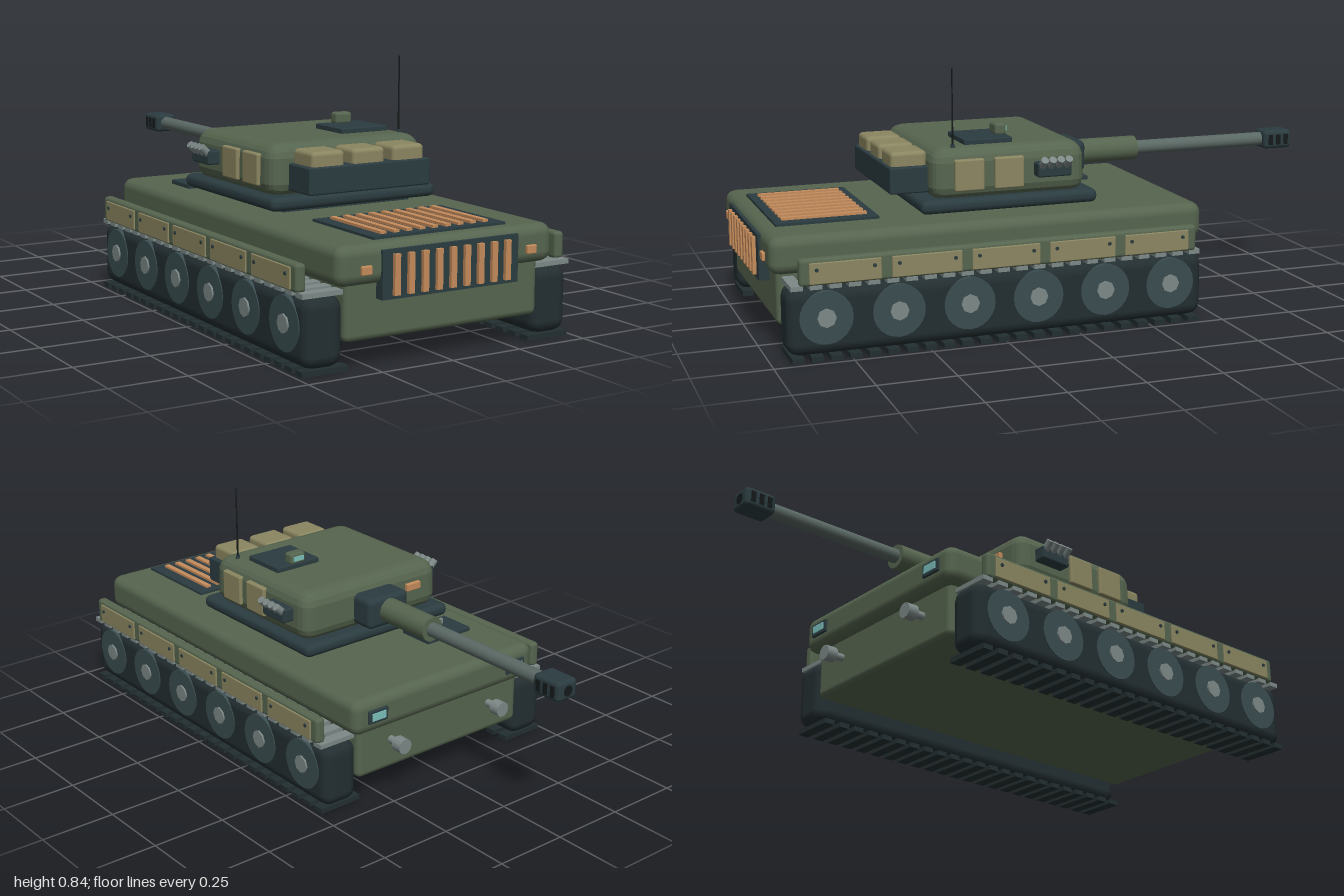
import * as THREE from 'three';
import { RoundedBoxGeometry } from 'three/addons/geometries/RoundedBoxGeometry.js';

const mat = (color) => new THREE.MeshStandardMaterial({ color });
const green = mat(0x56654f), dark = mat(0x2b3c40), rubber = mat(0x232e31), wheelGrey = mat(0x3a4d50);
const steel = mat(0x7d8987), gunGrey = mat(0x5a6864), tan = mat(0x8b8661), copper = mat(0xc58c5c);
const glass = mat(0x7cc2bd), black = mat(0x15191a);

export function createModel() {
  const root = new THREE.Group();
  root.name = 'tank';

  const add = (name, geo, material, x = 0, y = 0, z = 0, parent = root) => {
    const m = new THREE.Mesh(geo, material);
    m.name = name;
    m.position.set(x, y, z);
    parent.add(m);
    return m;
  };
  // Box given by its limits; r > 0 rounds the edges
  const box = (name, material, [x0, x1], [y0, y1], [z0, z1], r = 0, parent = root) => {
    const w = x1 - x0, h = y1 - y0, d = z1 - z0;
    const geo = r ? new RoundedBoxGeometry(w, h, d, 2, r) : new THREE.BoxGeometry(w, h, d);
    return add(name, geo, material, (x0 + x1) / 2, (y0 + y1) / 2, (z0 + z1) / 2, parent);
  };
  const span = (c, size) => [c - size / 2, c + size / 2];
  // Mirrored pair of x limits
  const side = (s, a, b) => (s > 0 ? [a, b] : [-b, -a]);
  const cylZ = (r, len, n = 20) => new THREE.CylinderGeometry(r, r, len, n).rotateX(Math.PI / 2);
  const cylX = (r, len, n = 20) => new THREE.CylinderGeometry(r, r, len, n).rotateZ(Math.PI / 2);

  // Hull
  box('lowerHull', green, [-0.35, 0.35], [0.085, 0.28], [-0.44, 0.955], 0.02);
  box('upperHull', green, [-0.39, 0.39], [0.253, 0.375], [-0.475, 0.98], 0.035);

  // Running gear, one group per side
  for (const s of [1, -1]) {
    const gear = new THREE.Group();
    gear.name = s > 0 ? 'leftRunningGear' : 'rightRunningGear';
    root.add(gear);
    box('track', rubber, side(s, 0.345, 0.478), [0.016, 0.23], [-0.437, 0.95], 0.04, gear);
    for (let i = 0; i < 23; i++) {
      const z = span(-0.4 + i * 0.06, 0.038);
      box('lowerCleat', rubber, side(s, 0.328, 0.484), [0, 0.017], z, 0, gear);
      box('upperCleat', steel, side(s, 0.328, 0.484), [0.229, 0.244], z, 0, gear);
    }
    for (let i = 0; i < 6; i++) {
      const z = 0.83 - i * 0.229;
      add('roadWheel', cylX(0.084, 0.03, 24), wheelGrey, s * 0.466, 0.137, z, gear);
      add('wheelHub', cylX(0.03, 0.02, 8), steel, s * 0.477, 0.137, z, gear);
    }
    // Side skirt with bolted panels
    box('skirt', green, side(s, 0.453, 0.488), [0.24, 0.326], [-0.405, 0.912], 0.012, gear);
    for (let i = 0; i < 5; i++) {
      const z = 0.77 - i * 0.258;
      box('skirtPanel', tan, side(s, 0.482, 0.493), [0.247, 0.314], span(z, 0.225), 0.003, gear);
      for (const dz of [-0.09, 0.09])
        add('skirtBolt', cylX(0.006, 0.006, 8), dark, s * 0.494, 0.292, z + dz, gear);
    }
  }

  // Engine grilles on the deck and the end plate
  box('deckGrille', dark, [-0.24, 0.24], [0.365, 0.383], [0.595, 0.93]);
  box('endGrille', dark, [-0.245, 0.245], [0.208, 0.355], [0.94, 0.988]);
  for (let i = -4; i <= 4; i++) {
    box('deckGrilleBar', copper, span(i * 0.0465, 0.02), [0.38, 0.391], [0.625, 0.902]);
    box('endGrilleBar', copper, span(i * 0.05, 0.02), [0.22, 0.342], [0.985, 1]);
  }
  for (const s of [1, -1]) {
    box('tailLamp', copper, span(s * 0.298, 0.036), [0.288, 0.315], [0.97, 0.99], 0.003);
    box('headlampFrame', dark, span(s * 0.3, 0.08), [0.292, 0.338], [-0.482, -0.465], 0.004);
    box('headlamp', glass, span(s * 0.3, 0.055), [0.303, 0.328], [-0.486, -0.475]);
    add('towPin', cylZ(0.013, 0.07, 12), steel, s * 0.215, 0.19, -0.46);
    add('towKnob', cylZ(0.026, 0.038, 12), steel, s * 0.215, 0.19, -0.494);
  }

  // Driver hatch
  box('driverHatch', dark, [-0.292, -0.1], [0.368, 0.39], [-0.262, -0.13], 0.004);
  box('driverHatchHandle', steel, [-0.24, -0.16], [0.398, 0.408], [-0.182, -0.172]);
  for (const x of [-0.236, -0.164])
    box('handlePost', steel, span(x, 0.008), [0.385, 0.4], [-0.182, -0.172]);

  // Turret
  const turret = new THREE.Group();
  turret.name = 'turret';
  root.add(turret);
  box('turretRing', dark, [-0.24, 0.24], [0.37, 0.395], [-0.08, 0.42], 0.005, turret);
  box('turretBase', dark, [-0.31, 0.31], [0.387, 0.432], [-0.13, 0.473], 0.02, turret);
  const body = box('turretBody', green, [-0.295, 0.295], [0.42, 0.592], [-0.1, 0.435], 0.045, turret);
  // Draw the roof in and tuck the bottom slightly
  const p = body.geometry.attributes.position;
  for (let i = 0; i < p.count; i++) {
    const y = p.getY(i);
    const k = y > 0 ? 1 - 0.5 * y : 1 + 0.35 * y;
    p.setX(i, p.getX(i) * k);
    p.setZ(i, p.getZ(i) * k);
  }
  body.geometry.computeVertexNormals();

  for (const s of [1, -1]) {
    for (const z of [0.31, 0.175])
      box('turretSidePanel', tan, side(s, 0.27, 0.302), [0.455, 0.558], span(z, 0.1), 0.006, turret);
    // Smoke dischargers
    box('dischargerMount', dark, side(s, 0.28, 0.332), [0.488, 0.535], [-0.028, 0.088], 0.006, turret);
    for (let i = 0; i < 4; i++) {
      const tube = add('dischargerTube', new THREE.CylinderGeometry(0.013, 0.013, 0.05, 10), steel,
        s * 0.331, 0.531, -0.012 + i * 0.028, turret);
      tube.rotation.z = -s * 0.8;
    }
  }
  box('turretLamp', copper, span(-0.17, 0.06), [0.508, 0.534], [-0.108, -0.09], 0.003, turret);

  // Stowage bin with packs
  box('stowageBin', dark, [-0.227, 0.227], [0.445, 0.532], [0.41, 0.555], 0.006, turret);
  for (const x of [-0.15, 0, 0.15])
    box('stowedPack', tan, span(x, 0.12), [0.5, 0.579], [0.425, 0.546], 0.015, turret);

  // Roof hatch, periscope and aerial
  box('roofHatch', dark, [0.05, 0.227], [0.589, 0.609], [0.14, 0.305], 0.004, turret);
  box('periscope', green, [0.107, 0.17], [0.605, 0.645], [0.14, 0.18], 0.01, turret);
  box('periscopeGlass', glass, [0.118, 0.159], [0.618, 0.634], [0.136, 0.142], 0, turret);
  add('aerialBase', new THREE.CylinderGeometry(0.007, 0.009, 0.02, 10), dark, 0.243, 0.59, 0.35, turret);
  add('aerial', new THREE.CylinderGeometry(0.002, 0.0035, 0.265, 8), black, 0.243, 0.7125, 0.35, turret);

  // Gun
  const gun = new THREE.Group();
  gun.name = 'gun';
  turret.add(gun);
  box('mantlet', dark, [-0.086, 0.086], [0.444, 0.552], [-0.178, -0.07], 0.02, gun);
  add('gunSleeve', cylZ(0.042, 0.24, 24), green, 0, 0.5, -0.272, gun);
  add('gunBarrel', cylZ(0.024, 0.54, 24), gunGrey, 0, 0.5, -0.645, gun);
  box('muzzleBrake', dark, [-0.041, 0.041], [0.467, 0.533], [-1, -0.89], 0.014, gun);
  for (const s of [1, -1])
    for (const z of [-0.915, -0.945, -0.975])
      box('muzzleSlot', black, side(s, 0.036, 0.044), [0.482, 0.518], span(z, 0.016), 0, gun);
  add('muzzleBore', cylZ(0.018, 0.002, 16), black, 0, 0.5, -0.9995, gun);

  return root;
}
